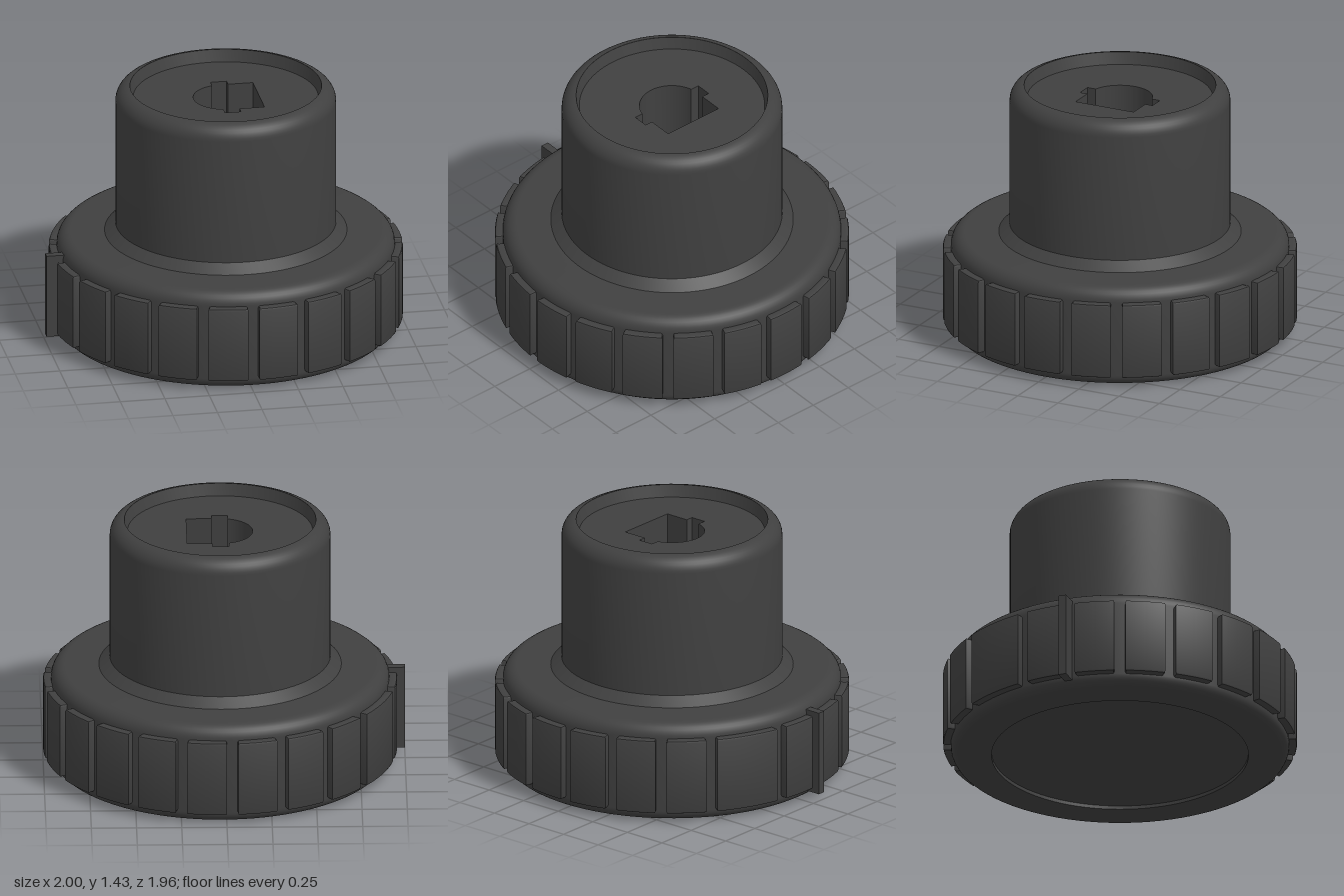
import * as THREE from 'three';
import { toCreasedNormals } from 'three/addons/utils/BufferGeometryUtils.js';

const DEG = Math.PI / 180;
const material = new THREE.MeshStandardMaterial({ color: 0x404040 });

function part(name, geometry, parent) {
  const mesh = new THREE.Mesh(geometry, material);
  mesh.name = name;
  parent.add(mesh);
  return mesh;
}

// Points of a rounded profile corner, angles in degrees
function fillet(r, y, radius, from, to, steps = 8) {
  return Array.from({ length: steps + 1 }, (_, i) => {
    const a = (from + (to - from) * i / steps) * DEG;
    return new THREE.Vector2(r + radius * Math.cos(a), y + radius * Math.sin(a));
  });
}

const lathe = (points) => toCreasedNormals(new THREE.LatheGeometry(points, 96), 25 * DEG);

// Extrude a plan shape upwards from y = bottom
function extrudeUp(shape, bottom, height, bevel = 0) {
  const geometry = new THREE.ExtrudeGeometry(shape, {
    depth: height - 2 * bevel, curveSegments: 48,
    bevelEnabled: bevel > 0, bevelSize: bevel, bevelThickness: bevel, bevelOffset: -bevel, bevelSegments: 2,
  });
  geometry.rotateX(-Math.PI / 2).translate(0, bottom + bevel, 0);
  return toCreasedNormals(geometry, 25 * DEG);
}

// Curved grip pad centred on the back of the ring
function padGeometry(width) {
  const half = width / 2 * DEG, mid = Math.PI / 2;
  const shape = new THREE.Shape();
  shape.absarc(0, 0, 0.978, mid - half, mid + half, false);
  shape.absarc(0, 0, 0.91, mid + half, mid - half, true);
  shape.closePath();
  return extrudeUp(shape, 0.06, 0.43, 0.012);
}

export function createModel() {
  const model = new THREE.Group();
  model.name = 'knob';
  const body = new THREE.Group();
  body.name = 'knobBody';
  body.position.x = 0.022;
  model.add(body);

  // Base ring, shallow underside recess, collar, hub and rim in one turned profile
  const v = (x, y) => new THREE.Vector2(x, y);
  part('turnedBody', lathe([
    v(0, 0.02), v(0.71, 0.02), v(0.71, 0),
    ...fillet(0.875, 0.06, 0.06, -90, 0),
    ...fillet(0.855, 0.49, 0.08, 0, 90),
    v(0.67, 0.57), v(0.61, 0.62),
    ...fillet(0.52, 1.34, 0.09, 0, 84),
    v(0.53, 1.428), v(0.512, 1.36),
  ]), body);

  // Hub core with a keyed D-shaped shaft hole
  const core = new THREE.Shape();
  core.absarc(0, 0, 0.513, 0, Math.PI * 2, false);
  const hole = new THREE.Path();
  const start = Math.acos(-0.045 / 0.18);
  hole.moveTo(0.185, -0.18);
  hole.lineTo(0.185, 0.18);
  hole.lineTo(0.045, 0.18);
  hole.lineTo(0.045, 0.225);
  hole.lineTo(-0.045, 0.225);
  hole.absarc(0, 0, 0.18, start, 2 * Math.PI - start, false);
  hole.lineTo(-0.045, -0.225);
  hole.lineTo(0.045, -0.225);
  hole.lineTo(0.045, -0.18);
  hole.closePath();
  core.holes.push(hole);
  part('hubCore', extrudeUp(core, 0.66, 0.7), body);
  const floor = part('shaftHoleFloor', new THREE.CircleGeometry(0.4, 48), body);
  floor.rotation.x = -Math.PI / 2;
  floor.position.y = 0.661;

  // Grip pads around the ring, with one wider pad beside the pointer
  const grips = new THREE.Group();
  grips.name = 'gripPads';
  body.add(grips);
  const narrow = padGeometry(13.1);
  for (let i = 0; i < 20; i++) {
    part('gripPad', narrow, grips).rotation.y = -(315 + 16.74 * i) * DEG;
  }
  part('wideGripPad', padGeometry(21.8), grips).rotation.y = -294 * DEG;

  // Pointer fin
  part('pointerFin', new THREE.BoxGeometry(0.12, 0.48, 0.045), model).position.set(-0.94, 0.28, 0.07);

  return model;
}
